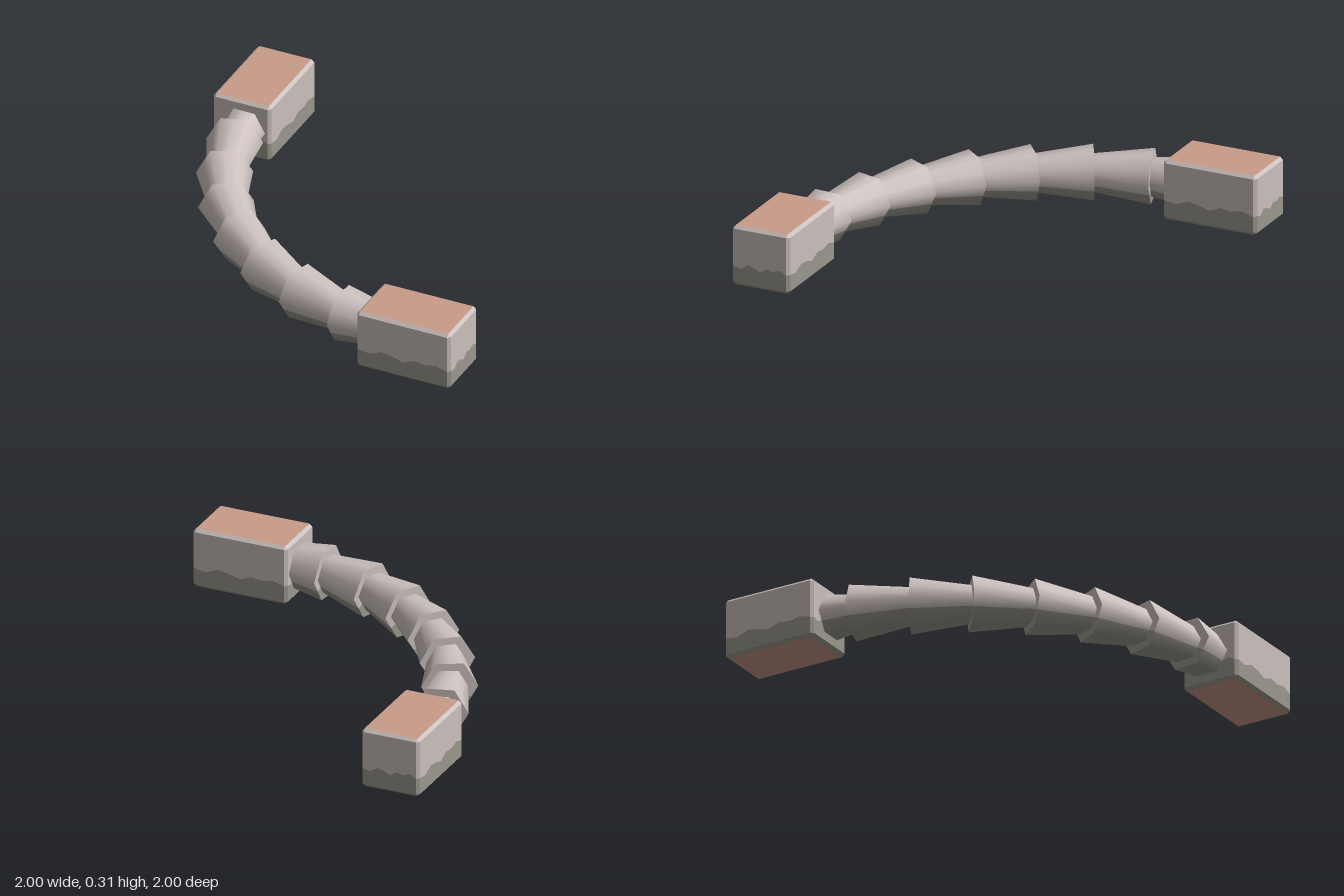
import * as THREE from 'three';

const stone = new THREE.MeshStandardMaterial({ name: 'pale stone', color: 0xcbc0bd });
const moss = new THREE.MeshStandardMaterial({ name: 'weathered stone', color: 0x9a978c });
const clay = new THREE.MeshStandardMaterial({ name: 'clay', color: 0xc99b88 });

const H = 0.31, BEVEL = 0.015;
// heights of the ragged stain line along one wall
const STAIN = [0.1, 0.092, 0.116, 0.108, 0.09, 0.114, 0.106, 0.118, 0.1];

// Chamfered walls: loops of points lofted from the bottom inset to the top inset
function blockWalls(hx, hz) {
  const rim = [];
  for (let k = 0; k < 4; k++) {
    const half = (k % 2 ? hz : hx) - BEVEL, out = k % 2 ? hx : hz;
    STAIN.forEach((y, j) => {
      const u = half * (2 * j / (STAIN.length - 1) - 1);
      const [x, z] = [[u, out], [out, -u], [-u, -out], [-out, u]][k];
      rim.push({ x, z, y });
    });
  }
  const inset = (p, y) => [
    THREE.MathUtils.clamp(p.x, BEVEL - hx, hx - BEVEL), y,
    THREE.MathUtils.clamp(p.z, BEVEL - hz, hz - BEVEL)];
  const loops = [
    rim.map(p => inset(p, 0)),
    rim.map(p => [p.x, BEVEL, p.z]),
    rim.map(p => [p.x, p.y, p.z]),
    rim.map(p => [p.x, H - BEVEL, p.z]),
    rim.map(p => inset(p, H))];
  const pos = [];
  for (let r = 0; r < 4; r++) {
    for (let i = 0; i < rim.length; i++) {
      const j = (i + 1) % rim.length;
      const a = loops[r][i], b = loops[r][j], c = loops[r + 1][j], d = loops[r + 1][i];
      pos.push(...a, ...b, ...c, ...a, ...c, ...d);
    }
  }
  const g = new THREE.BufferGeometry();
  g.setAttribute('position', new THREE.Float32BufferAttribute(pos, 3));
  g.computeVertexNormals();
  const n = pos.length / 6;
  g.addGroup(0, n, 0);
  g.addGroup(n, n, 1);
  return g;
}

function endBlock(name, hx, hz, x, z) {
  const block = new THREE.Group();
  block.name = name;
  const walls = new THREE.Mesh(blockWalls(hx, hz), [moss, stone]);
  walls.name = 'walls';
  block.add(walls);
  // clay panels on top and underneath
  const t = 0.004;
  const panel = new THREE.BoxGeometry(2 * (hx - BEVEL), t, 2 * (hz - BEVEL));
  for (const [label, y] of [['topPanel', H - t / 2], ['bottomPanel', t / 2]]) {
    const m = new THREE.Mesh(panel, clay);
    m.name = label;
    m.position.y = y;
    block.add(m);
  }
  block.position.set(x, 0, z);
  return block;
}

// Sector of a six-sided flared pipe, wide end towards +z; angle 0 is underneath
function pipeSector(length, from, sweep) {
  const step = Math.PI / 6;
  const g = new THREE.CylinderGeometry(0.139, 0.088, length, Math.round(sweep / step), 1, false, from, sweep);
  const p = g.attributes.position;
  for (let i = 0; i < p.count; i++) {
    // pull every second point onto the hexagon's flat side
    const k = Math.round(Math.atan2(p.getX(i), p.getZ(i)) / step);
    const s = k % 2 === 0 ? Math.cos(step) : 1;
    p.setXYZ(i, p.getX(i) * s, p.getY(i), p.getZ(i) * s);
  }
  return g.rotateX(Math.PI / 2);
}

export function createModel() {
  const model = new THREE.Group();
  model.name = 'curvedPipe';
  model.add(
    endBlock('leftBlock', 0.2525, 0.155, 0.7475, 0.845),
    endBlock('rightBlock', 0.155, 0.2525, -0.845, -0.7475));

  // eight flared segments along a quarter circle
  const COUNT = 8, R = 1.488, C = 0.643, Y = 0.157;
  const joint = i => {
    const a = i / COUNT * Math.PI / 2;
    return new THREE.Vector3(C - R * Math.sin(a), Y, -C + R * Math.cos(a));
  };
  const length = joint(0).distanceTo(joint(1)) + 0.05;
  const lower = pipeSector(length, -Math.PI / 3, Math.PI * 2 / 3);
  const upper = pipeSector(length, Math.PI / 3, Math.PI * 4 / 3);
  for (let i = 0; i < COUNT; i++) {
    const segment = new THREE.Group();
    segment.name = 'pipeSegment' + (i + 1);
    const under = new THREE.Mesh(lower, moss);
    under.name = 'pipeUnderside';
    const top = new THREE.Mesh(upper, stone);
    top.name = 'pipeTop';
    segment.add(under, top);
    segment.position.copy(joint(i)).add(joint(i + 1)).multiplyScalar(0.5);
    segment.lookAt(joint(i + 1));
    model.add(segment);
  }
  return model;
}
